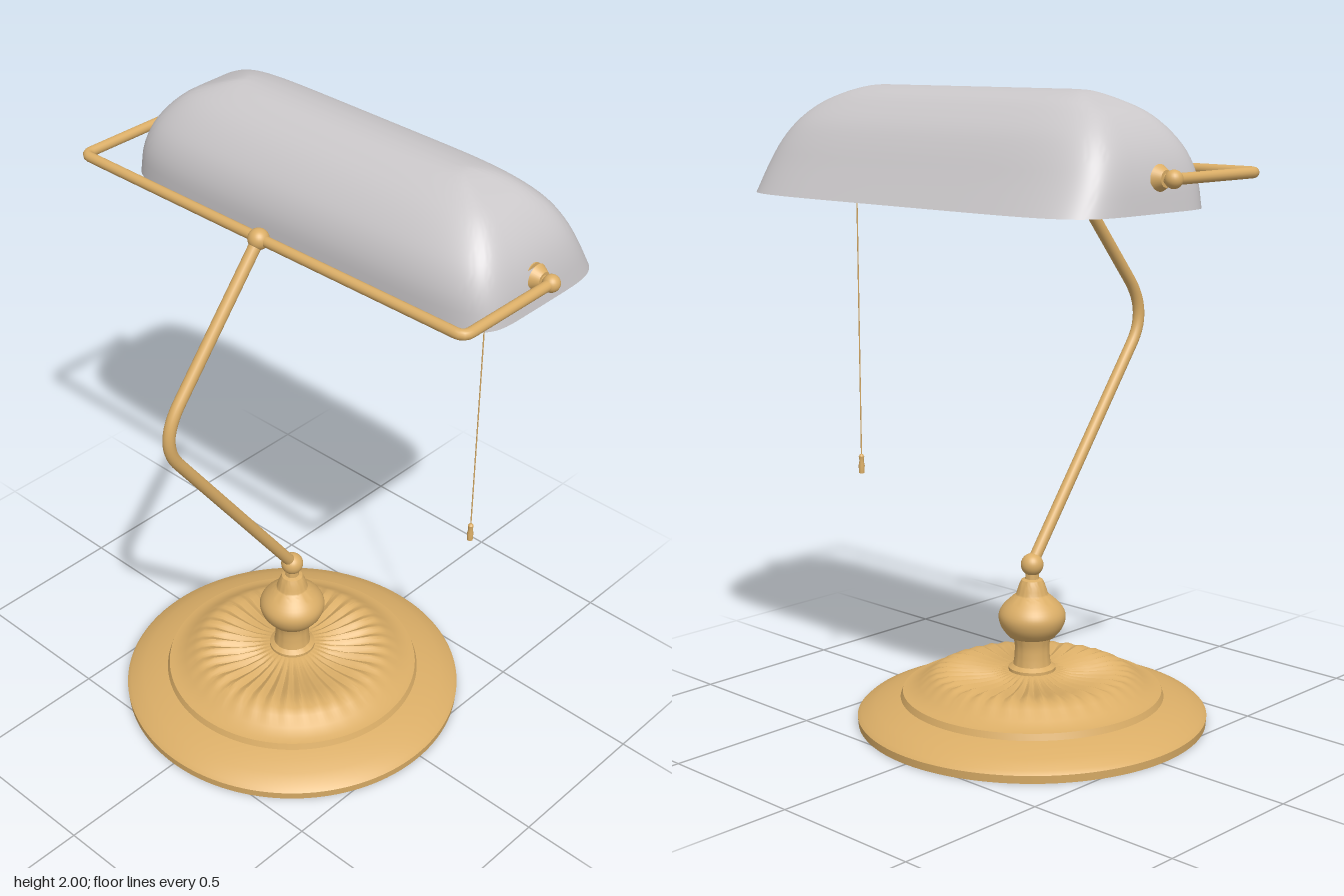
import * as THREE from 'three';
import { toCreasedNormals } from 'three/addons/utils/BufferGeometryUtils.js';

const V = (x, y, z) => new THREE.Vector3(x, y, z);
const profile = (pts) => pts.map(([r, y]) => new THREE.Vector2(r, y));
const smooth = (pts, n) => new THREE.SplineCurve(profile(pts)).getPoints(n);

// Shade shell: rounded-rectangle rings shrinking to a ridge, outside then inside
function shadeGeometry() {
  const levels = [ // y, reach to -x, reach to +x, half length
    [1.675, 0.26, 0.35, 0.71], [1.76, 0.257, 0.30, 0.695], [1.83, 0.235, 0.26, 0.67],
    [1.89, 0.195, 0.218, 0.63], [1.94, 0.145, 0.165, 0.575], [1.975, 0.09, 0.115, 0.5],
    [1.995, 0.04, 0.05, 0.44], [2.0, 0, 0, 0.4],
  ];
  const sides = new THREE.CatmullRomCurve3(levels.map((l) => V(l[1], l[0], l[2])), false, 'catmullrom', 0.5);
  const ends = new THREE.CatmullRomCurve3(levels.map((l) => V(l[3], l[0], 0)), false, 'catmullrom', 0.5);
  const N = 128, M = 24, pos = [], idx = [];
  const bulge = (c) => Math.sign(c) * Math.pow(Math.abs(c), 1 / 3);
  const addRing = (t, inset) => {
    const s = sides.getPoint(t), e = ends.getPoint(t);
    for (let j = 0; j < N; j++) {
      const a = (j / N) * Math.PI * 2, u = bulge(Math.cos(a)), v = bulge(Math.sin(a));
      pos.push(0.22 + u * Math.max(0, (u < 0 ? s.x : s.z) - inset), s.y - inset * t, v * (e.x - inset));
    }
  };
  for (let i = 0; i <= M; i++) addRing(i / M, 0);
  for (let i = M; i >= 0; i--) addRing(i / M, 0.012);
  addRing(0, 0);
  for (let i = 0; i < 2 * M + 2; i++) {
    if (i === M) continue; // no wall between the two ridges
    for (let j = 0; j < N; j++) {
      const k = (j + 1) % N, a = i * N + j, b = i * N + k;
      idx.push(a, a + N, b, b, a + N, b + N);
    }
  }
  const g = new THREE.BufferGeometry();
  g.setAttribute('position', new THREE.Float32BufferAttribute(pos, 3));
  g.setIndex(idx);
  return toCreasedNormals(g, 0.8);
}

// Stepped foot with radial flutes pressed into its top
function footGeometry() {
  const pts = profile([[0, 0], [0.555, 0], [0.557, 0.025], [0.545, 0.036], [0.5, 0.055], [0.46, 0.07],
    [0.42, 0.08], [0.413, 0.1], [0.395, 0.103], [0.36, 0.118], [0.33, 0.143], [0.305, 0.154],
    [0.27, 0.158], [0.23, 0.154], [0.18, 0.15], [0.13, 0.152], [0.09, 0.16], [0.06, 0.165], [0, 0.165]]);
  const g = new THREE.LatheGeometry(pts, 216);
  const p = g.attributes.position;
  for (let i = 0; i < p.count; i++) {
    const r = Math.hypot(p.getX(i), p.getZ(i));
    if (r < 0.08 || r > 0.34) continue;
    const fade = Math.sin(Math.PI * (r - 0.08) / 0.26);
    p.setY(i, p.getY(i) + 0.007 * fade * Math.cos(36 * Math.atan2(p.getZ(i), p.getX(i))));
  }
  return toCreasedNormals(g, 0.6);
}

export function createModel() {
  const model = new THREE.Group();
  model.name = 'deskLamp';
  const brass = new THREE.MeshStandardMaterial({ color: 0xdbae67 });
  brass.name = 'brass';
  const grey = new THREE.MeshStandardMaterial({ color: 0xcbc8ca });
  grey.name = 'pale grey';
  const add = (name, geo, mat, x = 0, y = 0, z = 0) => {
    const m = new THREE.Mesh(geo, mat);
    m.name = name;
    m.position.set(x, y, z);
    model.add(m);
    return m;
  };

  // Foot and turned column
  add('foot', footGeometry(), brass, -0.02);
  const column = [
    ...profile([[0.075, 0.155], [0.075, 0.172], [0.06, 0.182]]),
    ...smooth([[0.057, 0.2], [0.055, 0.24], [0.06, 0.27]], 6),
    ...smooth([[0.075, 0.275], [0.098, 0.305], [0.107, 0.34], [0.095, 0.37], [0.065, 0.4], [0.052, 0.41]], 16),
    ...smooth([[0.05, 0.415], [0.042, 0.44], [0.034, 0.458]], 4),
    ...profile([[0.022, 0.462], [0.02, 0.49], [0, 0.49]]),
  ];
  add('column', toCreasedNormals(new THREE.LatheGeometry(column, 48), 0.6), brass, -0.02);
  add('lowerBall', new THREE.SphereGeometry(0.036, 32, 20), brass, -0.02, 0.507);

  // Bent stem
  const stem = new THREE.CurvePath();
  const a = V(-0.495, 1.16, 0), b = V(-0.48, 1.37, 0);
  stem.add(new THREE.LineCurve3(V(-0.02, 0.51, 0), a));
  stem.add(new THREE.QuadraticBezierCurve3(a, V(-0.569, 1.26, 0), b));
  stem.add(new THREE.LineCurve3(b, V(-0.155, 1.768, 0)));
  add('stem', new THREE.TubeGeometry(stem, 80, 0.019, 20), brass);
  add('upperBall', new THREE.SphereGeometry(0.032, 32, 20), brass, -0.155, 1.768);

  // Yoke holding the shade at both ends
  const yoke = new THREE.CurvePath();
  const X = -0.152, Y = 1.768, Z = 0.745, c = 0.03;
  yoke.add(new THREE.LineCurve3(V(0.22, Y, Z), V(X + c, Y, Z)));
  yoke.add(new THREE.QuadraticBezierCurve3(V(X + c, Y, Z), V(X, Y, Z), V(X, Y, Z - c)));
  yoke.add(new THREE.LineCurve3(V(X, Y, Z - c), V(X, Y, c - Z)));
  yoke.add(new THREE.QuadraticBezierCurve3(V(X, Y, c - Z), V(X, Y, -Z), V(X + c, Y, -Z)));
  yoke.add(new THREE.LineCurve3(V(X + c, Y, -Z), V(0.22, Y, -Z)));
  add('yoke', new THREE.TubeGeometry(yoke, 200, 0.016, 16), brass);
  for (const s of [1, -1]) {
    add('yokeKnob', new THREE.SphereGeometry(0.026, 24, 16), brass, 0.22, Y, s * Z);
    const flange = add('shadeFlange', new THREE.CylinderGeometry(0.024, 0.039, 0.025, 32), brass, 0.22, Y, s * 0.708);
    flange.rotation.x = s * Math.PI / 2;
    const pin = add('shadePin', new THREE.CylinderGeometry(0.015, 0.015, 0.09, 20), brass, 0.22, Y, s * 0.7);
    pin.rotation.x = Math.PI / 2;
  }

  add('shade', shadeGeometry(), grey);

  // Socket, screw thread and bulb lying along the shade
  const lie = (name, geo, mat, z) => {
    add(name, geo, mat, 0.22, Y, z).rotation.x = -Math.PI / 2;
  };
  lie('socketCap', new THREE.CylinderGeometry(0.038, 0.038, 0.07, 32), brass, 0.65);
  lie('socket', new THREE.CylinderGeometry(0.045, 0.045, 0.22, 32), grey, 0.51);
  for (let i = 0; i < 6; i++) {
    add('screwThread', new THREE.TorusGeometry(0.049, 0.011, 10, 32), grey, 0.22, Y, 0.41 + i * 0.026);
  }
  const bulb = smooth([[0.044, -0.42], [0.05, -0.3], [0.073, -0.17], [0.1, -0.05], [0.111, 0.04],
    [0.099, 0.115], [0.06, 0.165], [0, 0.182]], 40);
  lie('bulb', new THREE.LatheGeometry(bulb, 40), grey, 0);

  // Pull cord and its weight
  add('pullCord', new THREE.CylinderGeometry(0.002, 0.002, 0.95, 8), brass, 0.22, 1.285, 0.53);
  const weight = profile([[0, 0.76], [0.009, 0.76], [0.01, 0.785], [0.007, 0.8], [0.009, 0.815], [0.004, 0.822], [0, 0.822]]);
  add('pullWeight', toCreasedNormals(new THREE.LatheGeometry(weight, 16), 0.6), brass, 0.22, 0, 0.53);
  return model;
}
